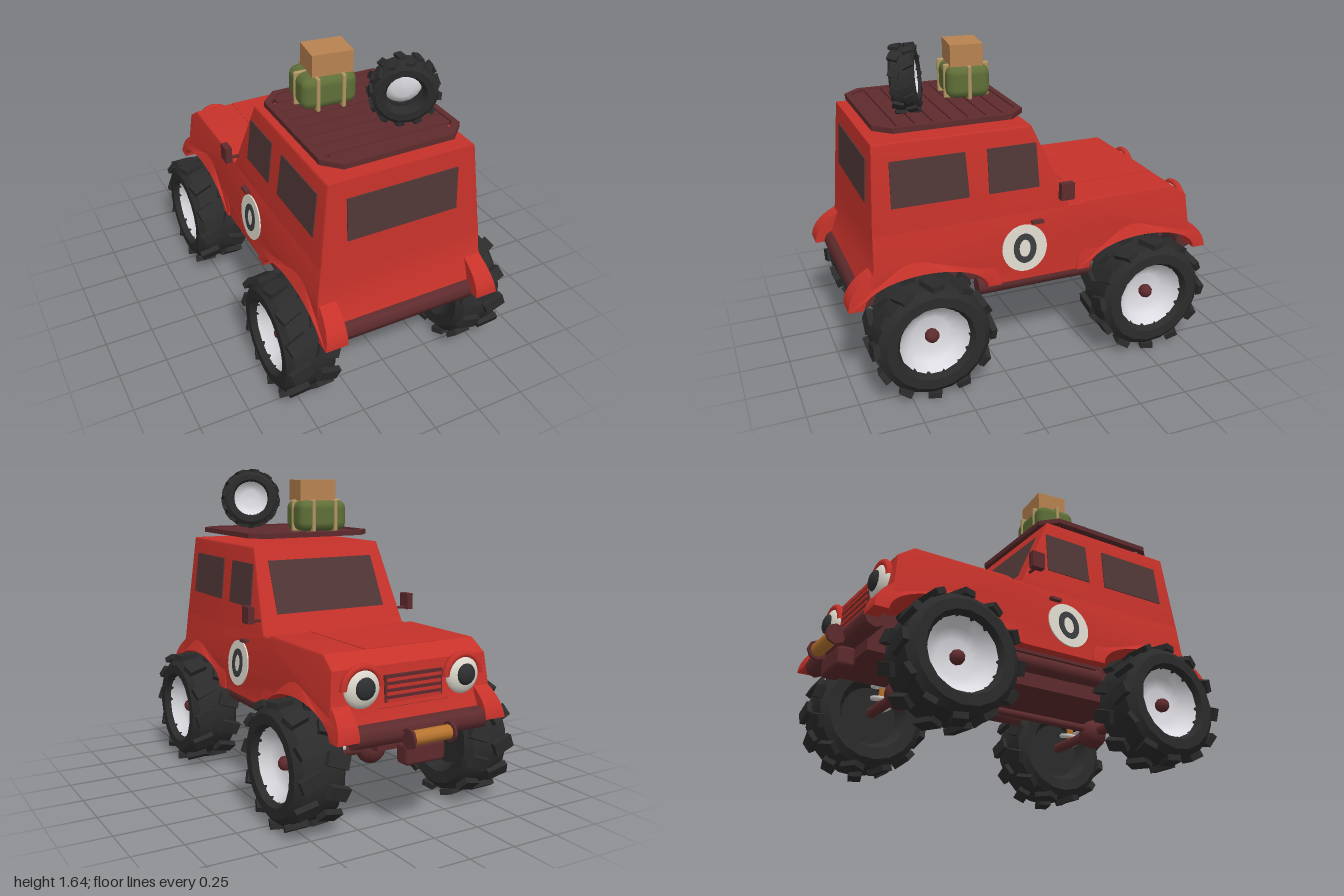
import * as THREE from 'three';
import { toCreasedNormals } from 'three/addons/utils/BufferGeometryUtils.js';
import { RoundedBoxGeometry } from 'three/addons/geometries/RoundedBoxGeometry.js';

const mat = (color, side = THREE.FrontSide) => new THREE.MeshStandardMaterial({ color, side });
const RED = mat(0xc6322a), DARK = mat(0x5e2b2d), GLASS = mat(0x503636), TYRE = mat(0x2b2b2c);
const RIM = mat(0xdcdce2), RIM2 = mat(0xdcdce2, THREE.DoubleSide), WHITE = mat(0xdcd8cc);
const GREEN = mat(0x5f6f38), TAN = mat(0xb09662), CARD = mat(0xb88250), ORANGE = mat(0xb8742f);
const STEEL = mat(0xcccccc);
const AXLES = [['rear', 0.63], ['front', -0.54]], SIDES = [['left', 1], ['right', -1]];

// Half width of the body at height y (the sides lean inwards)
const sideX = y => 0.42 - 0.107 * (y - 0.83);

export function createModel() {
  const car = new THREE.Group();
  car.name = 'offRoadCar';

  const add = (name, geo, m, pos = [0, 0, 0], rot = [0, 0, 0], parent = car) => {
    const mesh = new THREE.Mesh(geo, m);
    mesh.name = name;
    mesh.position.set(...pos);
    mesh.rotation.set(...rot);
    parent.add(mesh);
    return mesh;
  };
  const box = (w, h, d) => new THREE.BoxGeometry(w, h, d);
  const cyl = (r, l, n = 12) => new THREE.CylinderGeometry(r, r, l, n);
  const poly = pts => new THREE.Shape(pts.map(p => new THREE.Vector2(...p)));
  const ALONG_X = [0, 0, Math.PI / 2], ALONG_Z = [Math.PI / 2, 0, 0];

  // Extrudes a (z, y) outline across x, then moves each vertex's x by a rule
  const across = (shape, depth, rule, bevel = 0) => {
    const geo = new THREE.ExtrudeGeometry(shape, {
      depth: depth - 2 * bevel, curveSegments: 18, bevelEnabled: bevel > 0,
      bevelSize: bevel, bevelOffset: -bevel, bevelThickness: bevel, bevelSegments: 2 });
    geo.translate(0, 0, -depth / 2 + bevel).rotateY(-Math.PI / 2);
    const p = geo.attributes.position;
    for (let i = 0; i < p.count; i++) p.setX(i, rule(p.getX(i), p.getY(i), p.getZ(i)));
    geo.computeVertexNormals();
    return toCreasedNormals(geo, 0.6);
  };
  const lean = (x, y) => x * sideX(y);

  // Lower body with wheel arches, and the cabin above it
  const lower = new THREE.Shape();
  lower.moveTo(0.868, 0.83);
  lower.lineTo(0.875, 0.66);
  lower.lineTo(0.92, 0.54);
  lower.lineTo(0.94, 0.48);
  lower.absellipse(0.63, 0.48, 0.31, 0.13, 0, Math.PI);
  lower.lineTo(-0.23, 0.48);
  lower.absellipse(-0.54, 0.48, 0.31, 0.13, 0, Math.PI);
  [[-0.87, 0.5], [-0.825, 0.6], [-0.805, 0.78], [-0.72, 0.84], [-0.22, 0.84], [-0.17, 0.825], [-0.13, 0.83]]
    .forEach(p => lower.lineTo(...p));
  add('lowerBody', across(lower, 2, lean, 0.008), RED);
  add('cabin', across(poly([[0.87, 0.8], [0.84, 1.25], [0.06, 1.25], [-0.1, 0.9], [-0.145, 0.8]]), 2, lean, 0.012), RED);

  // Raised hood panel
  add('hoodPanel', box(0.4, 0.006, 0.5), RED, [0, 0.84, -0.47]);

  // Flared fenders, thinner towards the crown
  for (const [end, z0] of AXLES) {
    const band = new THREE.Shape();
    band.absellipse(z0, 0.48, 0.38, 0.215, 0, Math.PI);
    band.absellipse(z0, 0.48, 0.31, 0.13, Math.PI, 0, true);
    for (const [side, s] of SIDES) {
      const geo = across(band, 0.115, (x, y, z) => {
        const outer = Math.hypot((z - z0) / 0.38, (y - 0.48) / 0.215) > 0.95;
        const pull = outer && x * s > 0 ? 0.04 * (y - 0.48) / 0.215 : 0;
        return x + s * (0.4075 - pull);
      });
      add(`${end}${side}Fender`, geo, RED);
    }
  }

  // Side windows, door roundels and handles follow the leaning sides
  const windows = [[[0.77, 0.945], [0.765, 1.165], [0.4, 1.165], [0.39, 0.945]],
    [[0.29, 0.945], [0.29, 1.165], [0.04, 1.165], [0.03, 0.945]]];
  const ellipse = (rz, ry) => new THREE.Shape().absellipse(0.12, 0.645, rz, ry, 0, Math.PI * 2);
  const ring = ellipse(0.06, 0.075);
  ring.holes.push(ellipse(0.03, 0.045));
  for (const [side, s] of SIDES) {
    const onSide = (name, shape, thick, m) =>
      add(side + name, across(shape, thick, (x, y) => x + s * sideX(y)), m);
    windows.forEach((w, i) => onSide(i ? 'FrontWindow' : 'RearWindow', poly(w), 0.01, GLASS));
    onSide('DoorRoundel', ellipse(0.118, 0.118), 0.014, WHITE);
    onSide('RoundelRing', ring, 0.022, mat(0x3a3c3e));
    onSide('DoorHandle', poly([[0.08, 0.765], [0.08, 0.78], [0.02, 0.78], [0.02, 0.765]]), 0.05, DARK);

    // Mirror on its arm
    add(side + 'MirrorArm', cyl(0.008, 0.09, 6), DARK, [s * 0.44, 0.897, -0.085], ALONG_X);
    add(side + 'Mirror', box(0.035, 0.085, 0.07), DARK, [s * 0.479, 0.93, -0.085]);

    // Eye-like headlight with brow
    const lamp = new THREE.Group();
    lamp.name = side + 'Headlight';
    lamp.position.set(s * 0.28, 0.69, -0.812);
    car.add(lamp);
    add('lampBowl', new THREE.SphereGeometry(0.095, 20, 12), WHITE, [0, 0, 0], [0, 0, 0], lamp).scale.z = 0.5;
    add('lampPupil', new THREE.SphereGeometry(0.052, 16, 10), mat(0x2d2f31), [0, 0.005, -0.037], [0, 0, 0], lamp).scale.z = 0.5;
    add('lampBrow', new THREE.TorusGeometry(0.098, 0.018, 8, 16, Math.PI), RED, [0, 0, -0.01], [0, 0, 0], lamp);
  }
  add('windshield', across(poly([[0.03, 1.18], [0.036, 1.18], [-0.082, 0.92], [-0.088, 0.92]].map(([z, y]) => [z - 0.006, y])),
    2, (x, y) => x * (0.32 - 0.04 * (y - 0.92))), GLASS);
  add('rearWindow', across(poly([[0.866, 0.945], [0.852, 1.16], [0.842, 1.16], [0.85, 0.945]]), 2, x => x * 0.285), GLASS);

  // Grille
  add('grille', box(0.32, 0.14, 0.02), DARK, [0, 0.665, -0.814]);
  for (let i = 0; i < 4; i++) add('grilleSlat', box(0.3, 0.014, 0.02), RED, [0, 0.617 + i * 0.032, -0.82]);

  // Bumpers and winch
  add('rearBumper', cyl(0.055, 0.72, 8), DARK, [0, 0.485, 0.91], ALONG_X);
  add('frontBumper', cyl(0.055, 0.72, 8), DARK, [0, 0.485, -0.865], ALONG_X);
  add('winchDrum', cyl(0.034, 0.22, 10), ORANGE, [0, 0.47, -0.95], ALONG_X);
  for (const s of [1, -1]) add('winchPlate', cyl(0.05, 0.014, 8), DARK, [s * 0.113, 0.47, -0.95], ALONG_X);
  add('winchMount', new RoundedBoxGeometry(0.22, 0.1, 0.09, 1, 0.02), DARK, [0, 0.38, -0.885]);

  // Chassis, sills and drive line
  add('chassis', box(0.4, 0.2, 1.7), DARK, [0, 0.49, 0.02]);
  add('floor', box(0.82, 0.03, 0.54), DARK, [0, 0.477, 0.04]);
  for (const s of [1, -1]) add('sill', cyl(0.045, 0.62, 8), DARK, [s * 0.36, 0.435, 0.035], ALONG_Z);
  add('driveShaft', cyl(0.022, 1.17, 8), DARK, [0.05, 0.33, 0.045], ALONG_Z);

  // Wheel along its own y axis, outer face up
  const v = pts => pts.map(p => new THREE.Vector2(...p));
  const tyreGeo = toCreasedNormals(new THREE.LatheGeometry(v([[0.15, -0.06], [0.185, -0.125], [0.245, -0.13],
    [0.28, -0.1], [0.28, 0.1], [0.245, 0.13], [0.195, 0.13], [0.172, 0.09], [0.165, 0.04]]), 18), 0.5);
  const rimGeo = new THREE.LatheGeometry(v([[0.001, 0.02], [0.09, 0.025], [0.14, 0.05], [0.178, 0.1]].reverse()), 14);
  const wheel = (name, spare) => {
    const g = new THREE.Group();
    g.name = name;
    const tyre = add('tyre', tyreGeo, mat(0x2b2b2c, THREE.DoubleSide), [0, 0, 0], [0, 0, 0], g);
    tyre.rotation.y = 0.1;
    add('rim', rimGeo, RIM2, [0, 0, 0], [0, 0, 0], g);
    if (!spare) {
      add('innerDisc', cyl(0.17, 0.01, 14), TYRE, [0, -0.05, 0], [0, 0, 0], g);
      add('hub', new THREE.SphereGeometry(0.036, 10, 8), DARK, [0, 0.045, 0], [0, 0, 0], g);
    }
    // Two staggered rows of slanted tread blocks
    for (let i = 0; i < 24; i++) {
      const row = i % 2 ? 1 : -1, a = i * Math.PI / 12 + Math.PI / 12;
      const spin = new THREE.Group();
      spin.name = 'treadBlock';
      spin.rotation.y = a;
      add('block', box(0.03, 0.11, 0.065), TYRE, [0.288, row * 0.07, 0], [row * 0.35, 0, 0], spin);
      g.add(spin);
    }
    car.add(g);
    return g;
  };

  // Axles with differential, springs, dampers and wheels
  class Helix extends THREE.Curve {
    getPoint(t, out = new THREE.Vector3()) {
      const a = t * Math.PI * 7;
      return out.set(0.05 * Math.cos(a), t * 0.22, 0.05 * Math.sin(a));
    }
  }
  const springGeo = new THREE.TubeGeometry(new Helix(), 56, 0.011, 6);
  for (const [end, z] of AXLES) {
    add(end + 'Axle', cyl(0.028, 0.76, 8), DARK, [0, 0.31, z], ALONG_X);
    add(end + 'Differential', new THREE.SphereGeometry(0.076, 10, 8), DARK, [0.05, 0.305, z]);
    for (const [side, s] of SIDES) {
      add(end + side + 'Spring', springGeo, STEEL, [s * 0.255, 0.3, z]);
      add(end + side + 'Damper', cyl(0.019, 0.28, 8), ORANGE, [s * 0.255, 0.45, z]);
      const w = wheel(`${end}${side}Wheel`);
      w.position.set(s * 0.469, 0.305, z);
      w.rotation.z = -s * Math.PI / 2;
    }
  }

  // Roof rack: octagonal frame with slats
  const octagon = (w, d, c) => poly([[w - c, -d], [w, c - d], [w, d - c], [w - c, d],
    [c - w, d], [-w, d - c], [-w, c - d], [c - w, -d]]);
  const frame = octagon(0.36, 0.37, 0.08);
  frame.holes.push(octagon(0.33, 0.34, 0.07));
  const frameGeo = new THREE.ExtrudeGeometry(frame, { depth: 0.026, bevelEnabled: false });
  add('rackFrame', frameGeo, DARK, [0, 1.313, 0.44], ALONG_Z);
  for (let i = 0; i < 8; i++) {
    const edge = i === 0 || i === 7;
    add('rackSlat', box(edge ? 0.6 : 0.68, 0.014, 0.08), DARK, [0, 1.299, 0.44 + (i - 3.5) * 0.087]);
  }

  // Luggage: strapped bag with a carton on top
  const bag = new THREE.Group();
  bag.name = 'luggage';
  bag.position.set(-0.095, 1.393, 0.24);
  bag.rotation.y = -0.07;
  car.add(bag);
  add('bag', new RoundedBoxGeometry(0.28, 0.165, 0.22, 2, 0.045), GREEN, [0, 0, 0], [0, 0, 0], bag);
  for (const x of [-0.065, 0.065]) add('strap', new RoundedBoxGeometry(0.02, 0.175, 0.235, 2, 0.009), TAN, [x, 0, 0], [0, 0, 0], bag);
  add('longStrap', new RoundedBoxGeometry(0.294, 0.173, 0.02, 2, 0.009), TAN, [0, 0, 0], [0, 0, 0], bag);
  add('carton', box(0.205, 0.11, 0.165), CARD, [0.02, 0.136, 0.005], [0, -0.05, 0], bag);

  // Spare wheel standing on the rack
  const spare = wheel('spareWheel', true);
  spare.scale.set(0.54, 0.45, 0.54);
  spare.position.set(0.13, 1.475, 0.6);
  spare.quaternion.setFromUnitVectors(new THREE.Vector3(0, 1, 0), new THREE.Vector3(0.38, 0.08, -0.92).normalize());

  return car;
}
